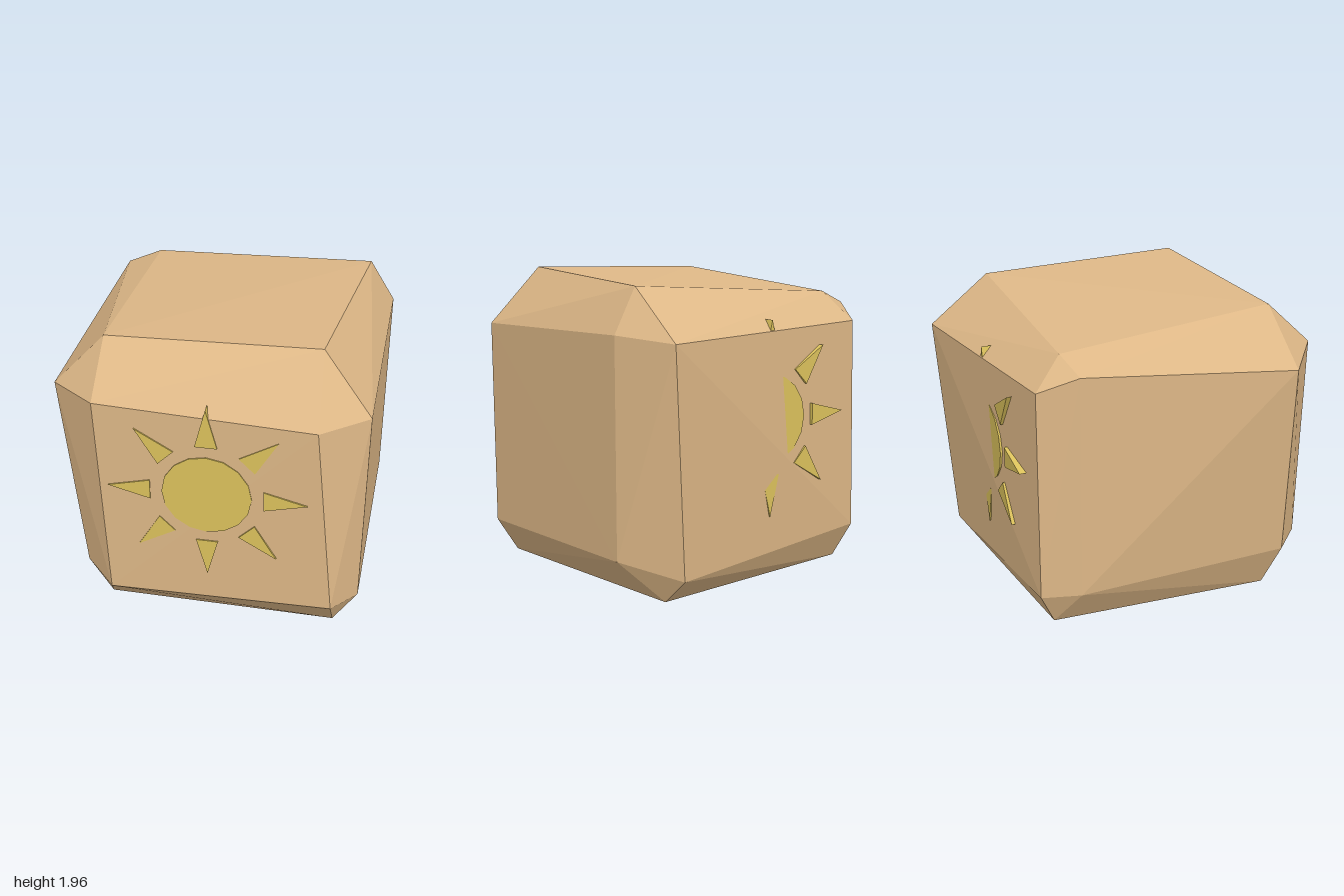
import * as THREE from 'three';
import { ConvexGeometry } from 'three/addons/geometries/ConvexGeometry.js';

const sandstone = new THREE.MeshStandardMaterial({ color: 0xdeb887 });
sandstone.name = 'sandstone';
const gold = new THREE.MeshStandardMaterial({ color: 0xdcc25c });
gold.name = 'gold';

// Each cut corner: its point on the top/bottom face, on the side face, on the front/back face
const corners = [
  [[-0.64, 1.93, 0.69], [-0.95, 1.6, 0.73], [-0.65, 1.65, 0.99]],
  [[0.64, 1.96, 0.67], [0.94, 1.6, 0.78], [0.66, 1.6, 0.995]],
  [[0.79, 1.9, -0.61], [0.95, 1.63, -0.63], [0.8, 1.6, -1]],
  [[-0.63, 1.82, -0.68], [-0.84, 1.74, -0.64], [-0.72, 1.64, -0.865]],
  [[-0.68, 0, 0.72], [-0.81, 0.3, 0.78], [-0.6, 0.29, 0.995]],
  [[0.78, 0.05, 0.78], [0.93, 0.28, 0.78], [0.78, 0.31, 0.98]],
  [[0.7, 0.055, -0.77], [0.945, 0.31, -0.63], [0.68, 0.21, -0.93]],
  [[-0.68, 0.1, -0.77], [-0.83, 0.33, -0.645], [-0.74, 0.32, -0.875]],
];

// The emblem runs right through the block and shows on both faces
const BACK = -0.925, FRONT = 1;

function addPrism(parent, name, points) {
  const shape = new THREE.Shape(points.map(([x, y]) => new THREE.Vector2(x, y)));
  const geometry = new THREE.ExtrudeGeometry(shape, { depth: FRONT - BACK, bevelEnabled: false });
  const mesh = new THREE.Mesh(geometry, gold);
  mesh.name = name;
  parent.add(mesh);
  return mesh;
}

export function createModel() {
  const model = new THREE.Group();
  model.name = 'sunBlock';

  // Rough-hewn block with chamfered edges
  const points = corners.flat().map((p) => new THREE.Vector3(...p));
  const block = new THREE.Mesh(new ConvexGeometry(points), sandstone);
  block.name = 'block';
  model.add(block);

  const sun = new THREE.Group();
  sun.name = 'sun';
  sun.position.set(0.018, 1.09, BACK);
  model.add(sun);

  // Sixteen-sided disc
  const disc = [];
  for (let i = 0; i < 16; i++) {
    const a = (i / 16) * Math.PI * 2;
    disc.push([0.27 * Math.cos(a), 0.27 * Math.sin(a)]);
  }
  addPrism(sun, 'sunDisc', disc);

  // Eight pointed rays
  for (let i = 0; i < 8; i++) {
    const ray = addPrism(sun, 'sunRay', [[0.34, -0.067], [0.597, 0], [0.34, 0.067]]);
    ray.rotation.z = (i / 8) * Math.PI * 2;
  }
  return model;
}
